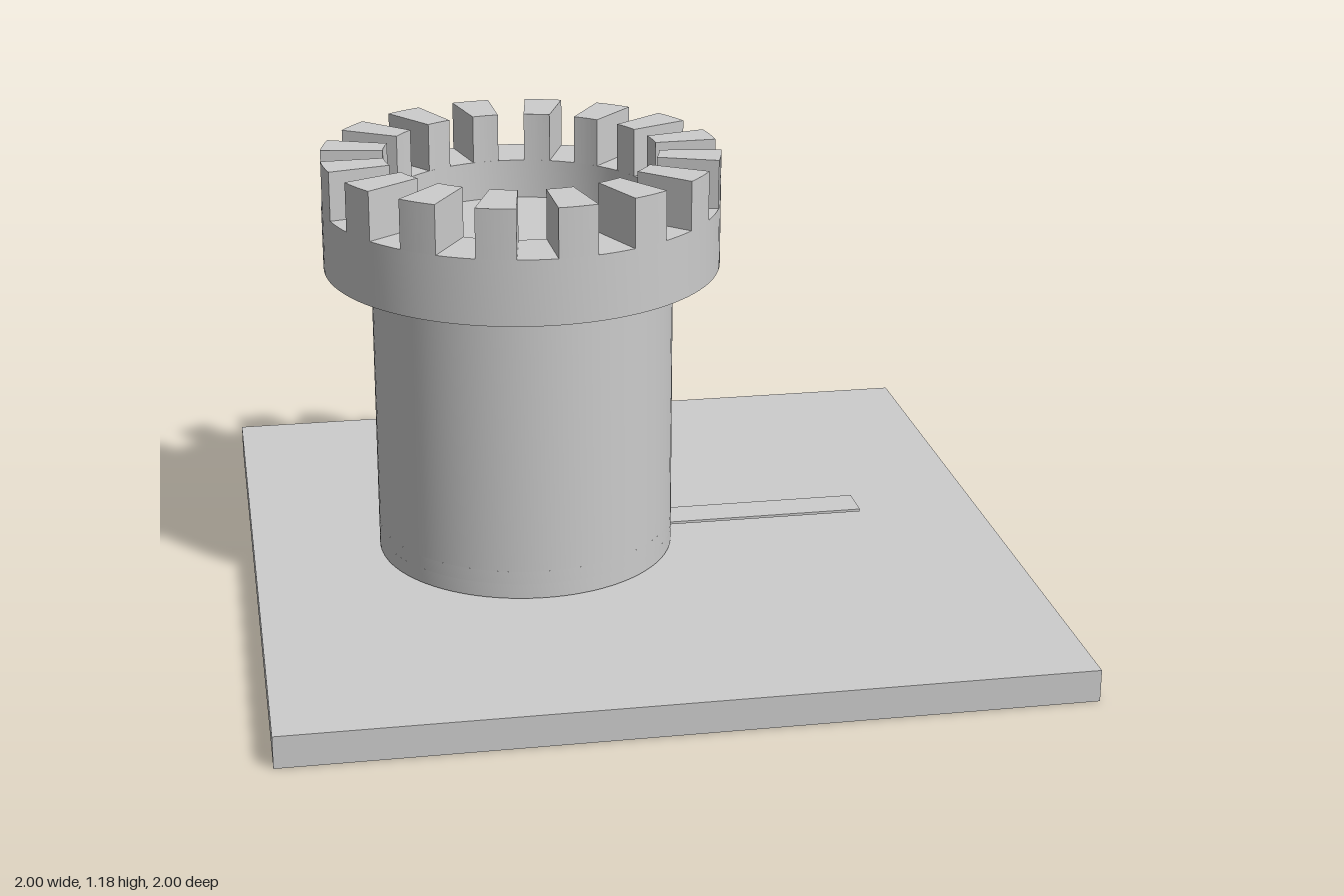
import * as THREE from 'three';
import { toCreasedNormals } from 'three/addons/utils/BufferGeometryUtils.js';

const SHAFT_R = 0.393, CROWN_R = 0.515, INNER_R = 0.355;
const CROWN_Y = 0.785, FLOOR_Y = 0.85, NOTCH_Y = 0.955, TOP_Y = 1.083;
const SEGMENTS = 96, MERLONS = 16;

export function createModel() {
  const stone = new THREE.MeshStandardMaterial({ color: 0xcccccc });
  stone.name = 'stone grey';
  const model = new THREE.Group();
  model.name = 'tower on plate';

  const add = (parent, name, geometry) => {
    const mesh = new THREE.Mesh(geometry, stone);
    mesh.name = name;
    parent.add(mesh);
    return mesh;
  };
  const lathe = (points, start = 0, length = Math.PI * 2) => toCreasedNormals(
    new THREE.LatheGeometry(points.map(([r, y]) => new THREE.Vector2(r, y)), SEGMENTS, start, length), 0.6);

  // Ground plate
  add(model, 'basePlate', new THREE.BoxGeometry(2, 0.083, 2)).position.y = 0.0415;

  // Thin walkway leading to the doorway
  add(model, 'walkway', new THREE.BoxGeometry(0.55, 0.007, 0.1)).position.set(0.37, 0.126, -0.015);

  // The tower leans very slightly towards the front
  const tower = new THREE.Group();
  tower.name = 'tower';
  tower.position.set(-0.27, 0.09, -0.03);
  tower.rotation.x = 0.011;
  model.add(tower);

  // Shaft in three bands; the middle one leaves the doorway open
  const doorLow = 0.04, doorHigh = 0.075, doorAngle = Math.PI / 2 - 0.038, doorHalf = 0.046;
  add(tower, 'shaftFoot', lathe([[0, 0], [SHAFT_R, 0], [SHAFT_R, doorLow]]));
  add(tower, 'shaftDoorBand', lathe([[SHAFT_R, doorLow], [SHAFT_R, doorHigh]],
    doorAngle + doorHalf, Math.PI * 2 - 2 * doorHalf));
  add(tower, 'shaft', lathe([[SHAFT_R, doorHigh], [SHAFT_R, CROWN_Y]]));

  // Doorway recess: a box turned inside out
  const recess = new THREE.BoxGeometry(0.1, doorHigh - doorLow, 2 * doorHalf * SHAFT_R);
  recess.scale(-1, 1, 1);
  recess.computeVertexNormals();
  add(tower, 'doorway', recess).position.set(SHAFT_R - 0.051, (doorLow + doorHigh) / 2, 0.015);

  // Crown with its sunken floor
  add(tower, 'crown', lathe([
    [SHAFT_R, CROWN_Y], [CROWN_R, CROWN_Y], [CROWN_R, NOTCH_Y],
    [INNER_R, NOTCH_Y], [INNER_R, FLOOR_Y], [0, FLOOR_Y],
  ]));

  // Ring of wedge-shaped merlons, as wide as the gaps between them
  const step = Math.PI * 2 / MERLONS;
  const wedge = new THREE.Shape();
  wedge.absarc(0, 0, CROWN_R, 0, step / 2, false);
  wedge.absarc(0, 0, INNER_R, step / 2, 0, true);
  const merlon = toCreasedNormals(
    new THREE.ExtrudeGeometry(wedge, { depth: TOP_Y - NOTCH_Y, bevelEnabled: false, curveSegments: 6 })
      .rotateX(-Math.PI / 2), 0.6);
  const firstAngle = THREE.MathUtils.degToRad(2.4) - Math.PI / 2;
  for (let i = 0; i < MERLONS; i++) {
    const mesh = add(tower, 'merlon', merlon);
    mesh.position.y = NOTCH_Y;
    mesh.rotation.y = firstAngle + i * step;
  }
  return model;
}
